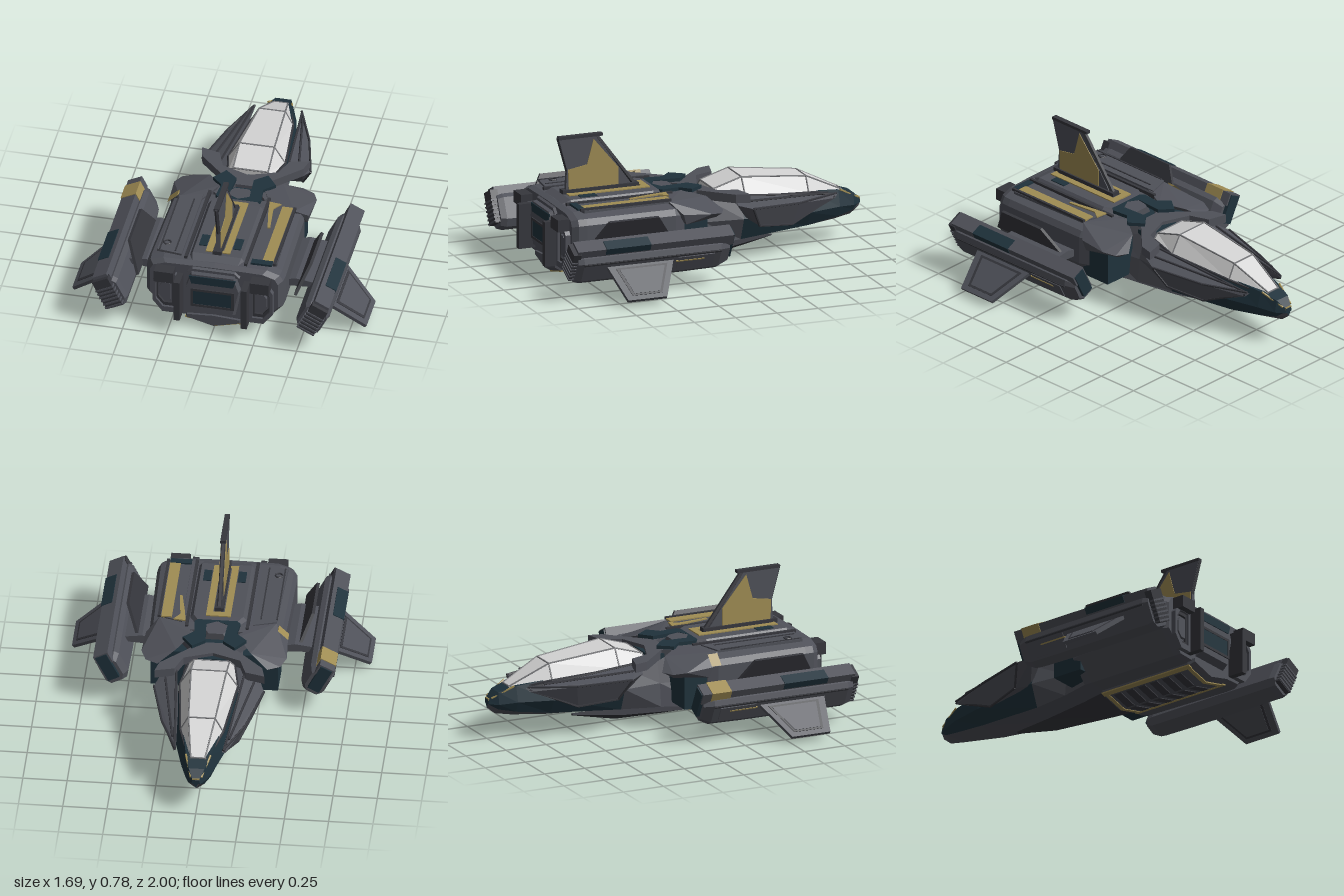
import * as THREE from 'three';
import { ConvexGeometry } from 'three/addons/geometries/ConvexGeometry.js';

const mat = (name, color, side = THREE.FrontSide) =>
  Object.assign(new THREE.MeshStandardMaterial({ color, flatShading: true, side }), { name });
const V = (p) => new THREE.Vector3(...p);

// ---- geometry helpers ----
const box = (x0, x1, y0, y1, z0, z1) =>
  new THREE.BoxGeometry(x1 - x0, y1 - y0, z1 - z0).translate((x0 + x1) / 2, (y0 + y1) / 2, (z0 + z1) / 2);
const convex = (pts) => new ConvexGeometry(pts.map(V));

// symmetric loft: sections are [z, half profile from top centre to bottom centre]
function loft(sections, keep = () => true, caps = true) {
  const rings = sections.map(([z, half]) => [
    ...half.slice().reverse().map(([x, y]) => [x, y, z]),
    ...half.slice(1, -1).map(([x, y]) => [-x, y, z])]);
  const pos = [], n = rings[0].length, last = sections[0][1].length - 1;
  const tri = (...p) => p.forEach((q) => pos.push(...q));
  for (let i = 0; i < rings.length - 1; i++) for (let j = 0; j < n; j++) {
    const band = j < last ? last - 1 - j : j - last;      // 0 = top strip on either side
    if (!keep(i, band)) continue;
    const a = rings[i], b = rings[i + 1], k = (j + 1) % n;
    tri(a[j], a[k], b[k]);
    tri(a[j], b[k], b[j]);
  }
  if (caps) [rings[0], rings.at(-1)].forEach((r, e) => {
    const c = [0, (r[0][1] + r[last][1]) / 2, r[0][2]];
    r.forEach((p, j) => (e ? tri(c, p, r[(j + 1) % n]) : tri(c, r[(j + 1) % n], p)));
  });
  return new THREE.BufferGeometry().setAttribute('position', new THREE.Float32BufferAttribute(pos, 3));
}

function extrude(pts, depth, hole) {
  const s = new THREE.Shape(pts.map((p) => new THREE.Vector2(...p)));
  if (hole) s.holes.push(new THREE.Path(hole.map((p) => new THREE.Vector2(...p))));
  return new THREE.ExtrudeGeometry(s, { depth, bevelEnabled: false });
}
const topPlate = (xz, y, t, hole) => extrude(xz, t, hole).rotateX(Math.PI / 2).translate(0, y, 0);
const sidePlate = (zy, halfW) => extrude(zy, halfW * 2).rotateY(-Math.PI / 2).translate(halfW, 0, 0);
const rect = (x0, x1, y0, y1) => [[x0, y0], [x1, y0], [x1, y1], [x0, y1]];

function bar(a, b, r) {
  const d = V(b).sub(V(a)), g = new THREE.CylinderGeometry(r, r, d.length(), 5);
  g.applyQuaternion(new THREE.Quaternion().setFromUnitVectors(new THREE.Vector3(0, 1, 0), d.normalize()));
  return g.translate((a[0] + b[0]) / 2, (a[1] + b[1]) / 2, (a[2] + b[2]) / 2);
}

function mirrored(geo) {
  const g = geo.index ? geo.toNonIndexed() : geo.clone(), p = g.attributes.position;
  g.scale(-1, 1, 1);
  for (let i = 0; i < p.count; i += 3) {
    const a = V([p.getX(i), p.getY(i), p.getZ(i)]);
    p.setXYZ(i, p.getX(i + 1), p.getY(i + 1), p.getZ(i + 1));
    p.setXYZ(i + 1, a.x, a.y, a.z);
  }
  return g;
}

export function createModel() {
  const root = new THREE.Group();
  root.name = 'spacecraft';
  const grey = mat('hull grey', 0x4f5159), dark = mat('trim dark grey', 0x36373d);
  const teal = mat('dark teal', 0x1f323c), gold = mat('gold', 0xa08d54);
  const glass = mat('canopy glass', 0xd6d6d6), frame = mat('canopy frame', 0x77787b);

  const add = (name, geo, m) => {
    const g = geo.index ? geo.toNonIndexed() : geo;
    g.computeVertexNormals();
    const mesh = new THREE.Mesh(g, m);
    mesh.name = name;
    root.add(mesh);
  };
  const pair = (name, geo, m) => {
    add(name + 'Left', geo, m);
    add(name + 'Right', mirrored(geo), m);
  };

  // ---- forward hull: z, top, middle, bottom, half width, lower half width ----
  const hull = [
    [-1, .235, .21, .185, .025, .02], [-.95, .28, .21, .145, .06, .045], [-.85, .31, .22, .125, .095, .07],
    [-.65, .34, .22, .1, .145, .1], [-.23, .36, .24, .075, .19, .14], [0, .38, .24, .07, .165, .18], [.25, .4, .24, .065, .2, .25],
  ].map(([z, t, m, b, w, l]) => [z, [[0, t], [w * .75, t], [w, m], [l, b + .035], [0, b]]]);
  const tealBand = (i, band) => i < 4 && band < 3;
  add('noseSides', loft(hull, tealBand), teal);
  add('forwardHull', loft(hull, (i, b) => !tealBand(i, b), false), grey);
  add('noseTip', box(-.022, .022, .228, .242, -.999, -.97), gold);
  pair('noseStripe', bar([.03, .245, -.985], [.07, .312, -.86], .006), gold);

  // ---- canopy: z, base half width, base y, roof half width, roof y ----
  const can = [[-.88, .05, .29, .04, .305], [-.65, .12, .33, .075, .418], [-.25, .163, .36, .1, .462], [-.08, .13, .38, .1, .41]];
  add('canopy', loft(can.map(([z, w, b, rw, r]) => [z, [[0, r], [rw, r], [w, b], [0, b - .03]]])), glass);
  can.forEach(([z, w, b, rw, r], i) => {
    add('canopyHoop', bar([-rw, r, z], [rw, r, z], .005), frame);
    pair('canopyPost', bar([rw, r, z], [w, b, z], .005), frame);
    const q = can[i + 1];
    if (!q) return;
    pair('canopyRail', bar([rw, r, z], [q[3], q[4], q[0]], .005), frame);
    pair('canopySill', bar([w, b, z], [q[1], q[2], q[0]], .008), dark);
  });

  // ---- cheek strakes beside the cockpit ----
  pair('strake', convex([[.13, .31, -.82], [.145, .29, -.8], [.19, .385, -.15], [.31, .33, -.24], [.28, .35, -.16],
    [.25, .21, -.3], [.19, .18, -.52], [.17, .24, -.25], [.235, .31, -.55]]), grey);
  for (const [a, b] of [[[.135, .315, -.81], [.236, .312, -.55]], [[.236, .312, -.55], [.311, .331, -.24]],
    [[.14, .3, -.8], [.192, .18, -.52]], [[.192, .18, -.52], [.252, .21, -.3]], [[.252, .21, -.3], [.311, .33, -.24]],
    [[.14, .314, -.8], [.192, .386, -.16]], [[.16, .33, -.72], [.25, .362, -.2]]])
    pair('strakeEdge', bar(a, b, .007), dark);

  // ---- neck arms and shoulders ----
  pair('neckArm', topPlate([[.31, -.22], [.29, -.14], [.12, .03], [.2, .14], [.14, .19], [.05, .08], [0, .08], [0, -.02], [.16, -.08], [.2, -.19]], .42, .05), grey);
  add('neckCore', box(-.13, .13, .3, .4, -.05, .25), teal);
  pair('shoulder', convex([[.13, .435, .13], [.2, .438, .28], [.33, .435, .28], [.4, .37, .22], [.41, .36, .05], [.38, .35, -.02],
    [.31, .35, -.055], [.21, .41, .01], [.2, .35, .25], [.39, .31, .2], [.34, .32, 0]]), grey);
  pair('shoulderCore', box(.16, .36, .13, .36, .06, .25), teal);
  add('shoulderMark', convex([[-.345, .431, .21], [-.345, .431, .27], [-.402, .375, .21], [-.402, .375, .27], [-.34, .42, .24]]), gold);

  // ---- main body ----
  const prof = [[0, .435], [.3, .43], [.375, .405], [.395, .37], [.395, .2], [.28, .07], [0, .06]];
  const sec = (z, s) => [z, prof.map(([x, y]) => [x * s, .25 + (y - .25) * s])];
  add('mainBody', loft([sec(.2, .92), sec(.26, .97), sec(.8, 1), sec(.85, .99), sec(.885, .93)]), grey);

  // ---- spine, deck plates and deck markings ----
  add('spine', loft([[.14, [[0, .44], [.04, .44], [.07, .4], [0, .39]]], [.3, [[0, .452], [.14, .452], [.165, .42], [0, .4]]],
    [.8, [[0, .452], [.14, .452], [.165, .42], [0, .4]]], [.9, [[0, .41], [.12, .41], [.15, .38], [0, .36]]]]), grey);
  pair('neckPanel', topPlate([[.05, .06], [.12, .0], [.18, .08], [.12, .14], [.13, .24], [.08, .29], [0, .29], [0, .25], [.06, .22]], .449, .02), teal);
  add('finSurround', topPlate(rect(-.07, .07, .29, .78), .458, .008, rect(-.032, .032, .33, .76)), gold);
  pair('spinePatch', box(.075, .12, .45, .457, .63, .73), teal);
  pair('deckRail', box(.163, .18, .42, .447, .2, .84), dark);
  pair('deckPlate', topPlate([[.2, .24], [.33, .28], [.345, .8], [.2, .82]], .443, .015), grey);
  add('deckStripe', box(.26, .32, .44, .45, .27, .8), gold);
  add('curvedStripe', topPlate([[.18, .24], [.25, .25], [.215, .3], [.235, .48], [.22, .48], [.19, .32]], .45, .008), gold);
  add('deckBar', box(.325, .34, .44, .455, .27, .82), dark);
  add('deckVent', box(.2, .32, .44, .452, .79, .83), teal);
  for (const x of [-.24, -.33]) add('deckSeam', box(x - .004, x + .004, .44, .447, .3, .8), dark);
  add('deckHatch', new THREE.TorusGeometry(.02, .005, 5, 12).rotateX(Math.PI / 2).translate(-.3, .446, .73), dark);
  pair('tailBlock', box(.22, .33, .33, .4, .86, .955), dark);
  pair('tailSpar', box(.175, .21, .1, .36, .86, .985), dark);

  // ---- tail fin ----
  add('tailFin', sidePlate([[.36, .44], [.78, .44], [.77, .59], [.82, .78], [.6, .78]], .012), grey);
  add('finLeadingEdge', bar([0, .45, .35], [0, .77, .59], .014), dark);
  add('finTrailingEdge', bar([0, .58, .765], [0, .78, .82], .011), dark);
  add('finCap', box(-.015, .015, .768, .785, .555, .82), dark);
  add('finPaint', sidePlate([[.46, .455], [.76, .455], [.765, .59], [.65, .61], [.61, .755], [.46, .575]], .0155), gold);
  add('finFoot', box(-.025, .025, .44, .475, .34, .8), dark);

  // ---- rear engines ----
  add('engineBlock', loft([[.86, [[0, .4], [.13, .4], [.16, .3], [.13, .1], [0, .1]]], [.925, [[0, .39], [.12, .39], [.15, .3], [.115, .14], [0, .14]]]]), grey);
  add('engineUpperVent', extrude([[-.12, .33], [.12, .33], [.135, .38], [-.135, .38]], .008).translate(0, 0, .922), teal);
  add('engineLowerFrame', extrude(rect(-.125, .125, .175, .295), .01, rect(-.11, .11, .19, .28)).translate(0, 0, .922), dark);
  add('engineLowerVent', extrude(rect(-.11, .11, .19, .28), .008).translate(0, 0, .921), teal);
  const oct = (k) => [[.21, .1], [.29, .1], [.345, .17], [.345, .31], [.31, .36], [.21, .36]].map(([x, y]) => [.275 + (x - .275) * k, .235 + (y - .235) * k]);
  pair('nozzleFrame', extrude(oct(1), .045, oct(.75)).translate(0, 0, .87), grey);
  pair('nozzleRim', extrude(oct(.75), .02, oct(.6)).translate(0, 0, .88), dark);
  pair('nozzleCore', extrude(oct(.45), .03).translate(0, 0, .875), grey);

  // ---- belly: ventral wedge with ribbed panel, and the tapering keel ahead of it ----
  const wedge = (z, b, w) => [z, [[0, .1], [w, .09], [w, b + .04], [0, b]]];
  add('bellyWedge', loft([wedge(.25, .008, .16), wedge(.86, .008, .165), wedge(.9, .03, .15)]), grey);
  add('keel', loft([[-.47, [[0, .08], [.015, .075], [0, .068]]], [-.2, [[0, .08], [.08, .055], [0, .012]]],
    [.1, [[0, .08], [.13, .055], [0, .008]]], [.26, [[0, .08], [.16, .06], [0, .01]]]]), dark);
  const slope = (x0, x1, z0, z1, t) => convex([x0, x1].flatMap((x) => [z0, z1].flatMap((z) =>
    [[x, .006 + .042 * x / .165 - t, z], [x, .012 + .042 * x / .165, z]])));
  pair('bellyBorder', slope(.14, .168, .25, .87, .002), gold);
  for (const z of [.26, .84]) pair('bellyBorderEnd', slope(0, .15, z, z + .025, .002), gold);
  for (let z = .31; z < .82; z += .085) pair('bellyRib', slope(.01, .13, z, z + .05, .004), dark);

  // ---- side nacelles, leaning outward ----
  const lean = (g) => g.rotateZ(-.47).translate(.585, .22, 0);
  const pod = (z, s) => [z, [[0, .075], [.055, .075], [.075, .05], [.075, -.075], [.045, -.115], [0, -.115]].map(([x, y]) => [x * s, y * s])];
  pair('nacelle', lean(loft([pod(.04, .72), pod(.1, .97), pod(.3, 1), pod(.93, 1), pod(.965, .9)])), grey);
  pair('nacelleSpine', lean(box(-.045, .045, .05, .122, .025, .97)), grey);
  pair('nacelleNose', lean(box(-.035, .035, -.05, .115, .018, .06)), teal);
  pair('nacelleExhaust', lean(box(-.05, .05, -.085, .105, .95, .995)), dark);
  for (let i = 0; i < 6; i++) pair('exhaustSlat', lean(box(-.055, .055, -.08 + i * .024, -.07 + i * .024, .96, 1)), grey);
  pair('nacellePatch', lean(box(-.02, .049, .085, .126, .53, .8)), teal);
  pair('nacelleSidePanel', lean(box(.07, .08, -.06, .03, .14, .36)), grey);
  pair('nacelleSeam', lean(box(.07, .078, .035, .045, .1, .93)), dark);
  pair('nacelleTrim', lean(box(.07, .083, .0, .008, .2, .37)), gold);
  add('nacelleBand', mirrored(lean(box(-.049, .049, .045, .126, .08, .2))), gold);

  // ---- winglets, pylons and inner fins ----
  const wing = (k, t) => {
    const c = [.745, .115, .59], n = [.63 * t, .77 * t];
    return convex([[.64, .2, .38], [.64, .2, .79], [.84, .04, .735], [.84, .04, .5]].flatMap((p) => {
      const [x, y, z] = p.map((v, i) => c[i] + (v - c[i]) * k);
      return [[x + n[0], y + n[1], z], [x - n[0], y - n[1], z]];
    }));
  };
  pair('winglet', wing(1, .01), grey);
  pair('wingletInset', wing(.76, .013), dark);
  pair('wingletPanel', wing(.66, .015), grey);
  pair('pylon', convex([.3, .7].flatMap((z) => [[.37, .27, z], [.37, .23, z], [.43, .285, z], [.43, .25, z], [.54, .27, z], [.54, .24, z]])), grey);
  pair('innerFin', convex([[.445, .26, .31], [.445, .26, .82], [.515, .42, .42], [.515, .42, .72]].flatMap(([x, y, z]) => [[x, y, z], [x + .016, y - .005, z]])), dark);
  return root;
}
